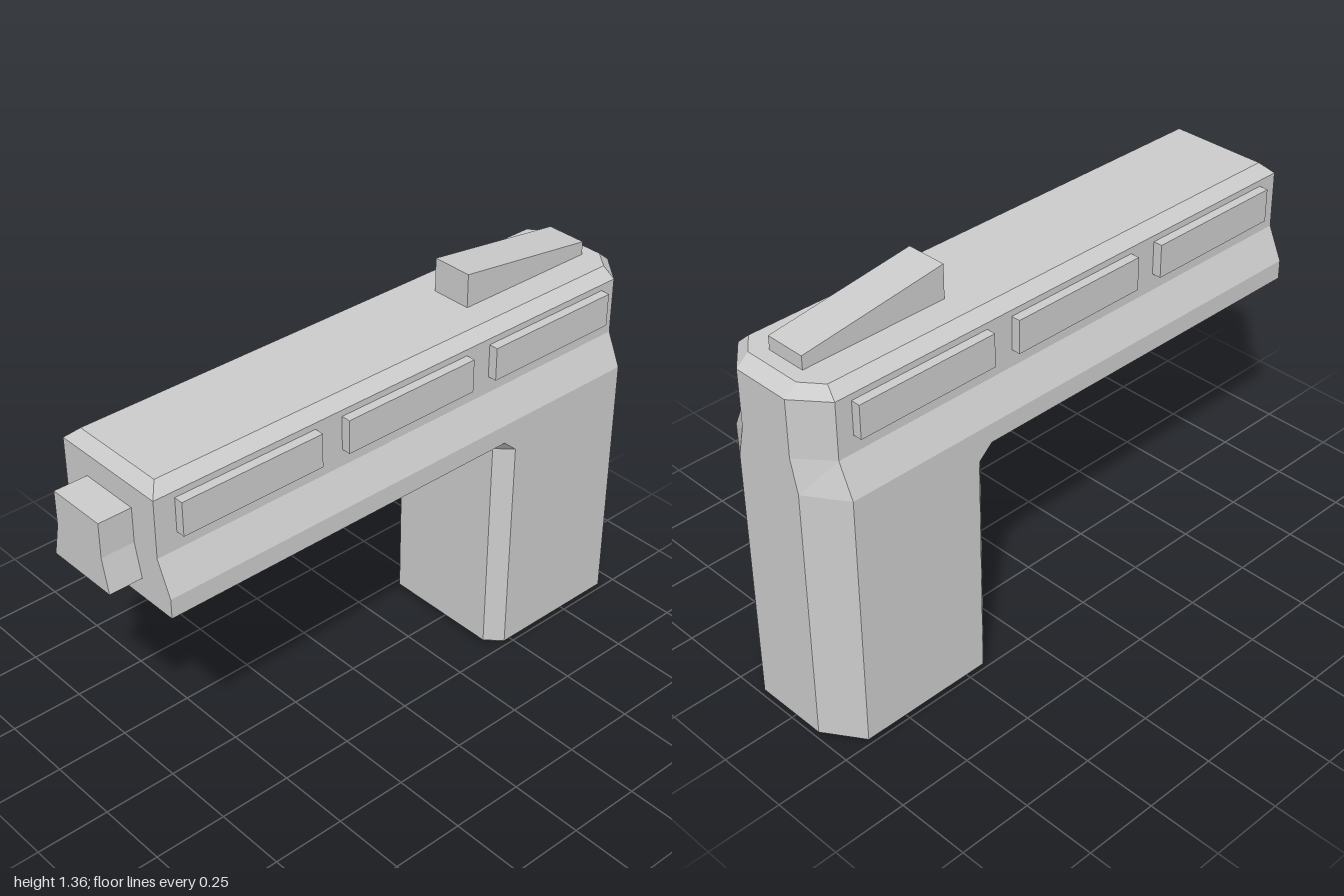
import * as THREE from 'three';
import { ConvexGeometry } from 'three/addons/geometries/ConvexGeometry.js';

const material = new THREE.MeshStandardMaterial({ color: 0xcccccc, flatShading: true });

// Stacks horizontal sections [y, [[x, z], ...]]; each half outline is mirrored across z.
function loft(sections) {
  const rings = sections.map(([y, half]) => [
    ...half.map(([x, z]) => [x, y, z]),
    ...half.map(([x, z]) => [x, y, -z]).reverse(),
  ]);
  const n = rings[0].length;
  const pos = [];
  const tri = (a, b, c) => pos.push(...a, ...b, ...c);
  for (let k = 0; k < rings.length - 1; k++) {
    const lo = rings[k], hi = rings[k + 1];
    for (let i = 0; i < n; i++) {
      const j = (i + 1) % n;
      tri(lo[i], lo[j], hi[j]);
      tri(lo[i], hi[j], hi[i]);
    }
  }
  const bottom = rings[0], top = rings[rings.length - 1];
  for (let i = 1; i < n - 1; i++) {
    tri(bottom[0], bottom[i + 1], bottom[i]);
    tri(top[0], top[i], top[i + 1]);
  }
  const geometry = new THREE.BufferGeometry();
  geometry.setAttribute('position', new THREE.Float32BufferAttribute(pos, 3));
  geometry.computeVertexNormals();
  return geometry;
}

export function createModel() {
  const model = new THREE.Group();
  model.name = 'blaster';
  const add = (name, geometry) => {
    const mesh = new THREE.Mesh(geometry, material);
    mesh.name = name;
    model.add(mesh);
    return mesh;
  };

  // Barrel body: bevelled below, stepped in above, rear corners cut
  add('body', loft([
    [0.80, [[-0.84, 0.205], [0.85, 0.205], [0.95, 0.12]]],
    [0.845, [[-0.89, 0.255], [0.915, 0.255], [1, 0.128]]],
    [0.91, [[-0.89, 0.255], [0.915, 0.255], [1, 0.128]]],
    [1.02, [[-0.89, 0.205], [0.915, 0.205], [1, 0.102]]],
    [1.21, [[-0.89, 0.205], [0.915, 0.205], [1, 0.102]]],
    [1.245, [[-0.855, 0.167], [0.905, 0.167], [0.957, 0.102]]],
  ]));

  // Grip: bevelled foot, chamfered front edges, cut rear corners
  const gripOutline = [[0.40, 0.205], [0.45, 0.255], [0.915, 0.255], [1, 0.128]];
  add('grip', loft([
    [0, [[0.43, 0.19], [0.465, 0.23], [0.90, 0.23], [0.972, 0.118]]],
    [0.028, gripOutline],
    [0.845, gripOutline],
  ]));

  // Gusset filling the inside corner between grip and body
  const corner = [[0.40, 0.845, 0.255], [0.45, 0.80, 0.255], [0.40, 0.80, 0.205], [0.45, 0.845, 0.255]];
  add('cornerGusset', new ConvexGeometry(
    corner.flatMap(([x, y, z]) => [new THREE.Vector3(x, y, z), new THREE.Vector3(x, y, -z)])
  ));

  // Muzzle block, flared at its lower half
  add('muzzle', loft([
    [0.91, [[-1, 0.127], [-0.88, 0.127]]],
    [1.02, [[-1, 0.102], [-0.88, 0.102]]],
    [1.135, [[-1, 0.102], [-0.88, 0.102]]],
  ]));

  // Sloping rear sight
  const sight = new THREE.Shape([[0.40, 1.24], [0.91, 1.24], [0.91, 1.29], [0.40, 1.358]]
    .map(([x, y]) => new THREE.Vector2(x, y)));
  add('sight', new THREE.ExtrudeGeometry(sight, { depth: 0.14, bevelEnabled: false })
    .translate(0, 0, -0.07));

  // Three raised panels along each side
  for (const side of [1, -1]) {
    for (const x of [-0.572, 0.022, 0.612]) {
      add('sidePanel', new THREE.BoxGeometry(0.495, 0.112, 0.05))
        .position.set(x, 1.133, side * 0.211);
    }
  }
  return model;
}
